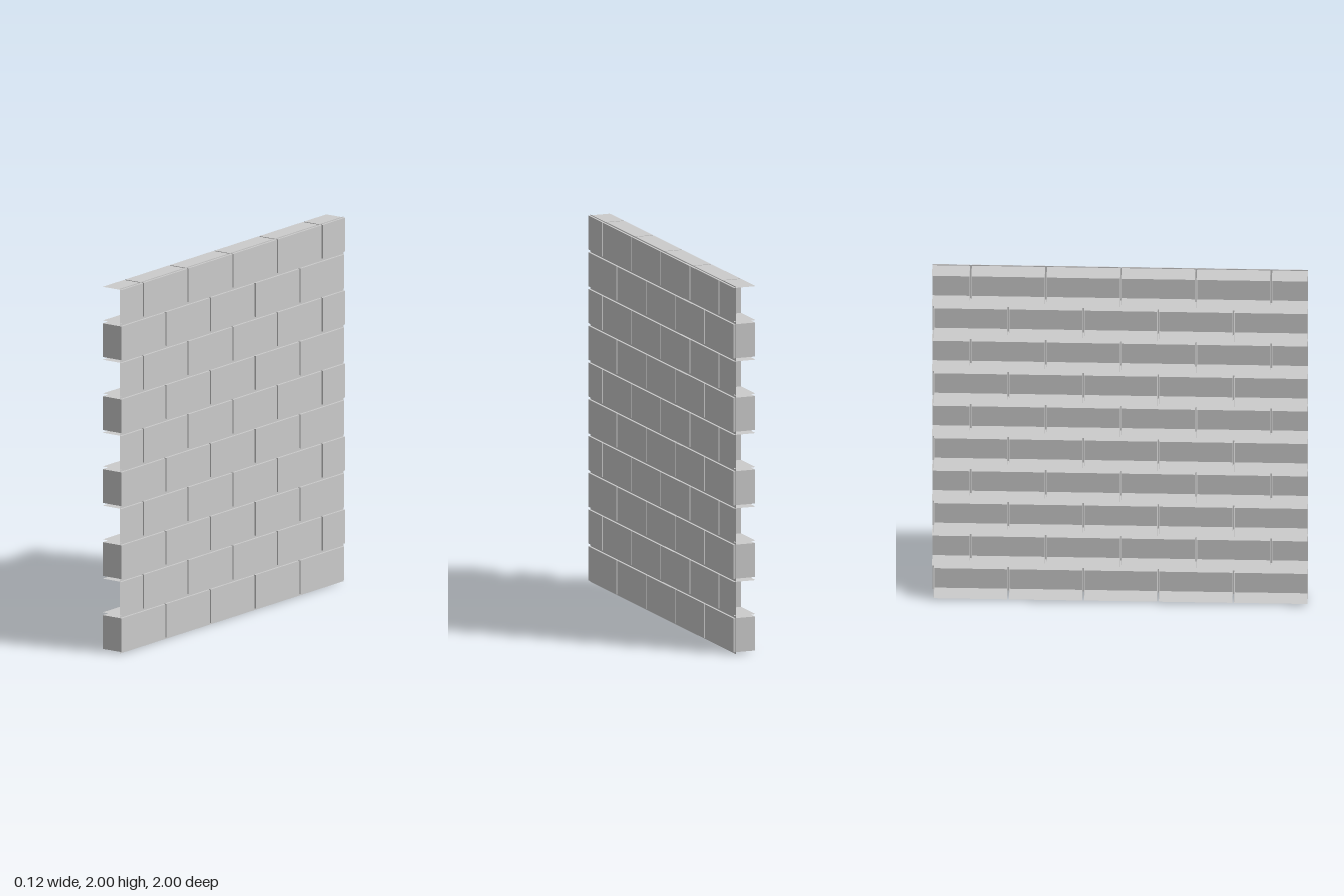
import * as THREE from 'three';

const ROWS = 10, ROW_H = 0.2, PITCH = 0.4, GAP = 0.01;
const BACK = -0.0625, FRONT = 0.0625, MORTAR_X = 0.05;

// Hollow box shell: keeps only the listed sides (0 +x, 1 -x, 2 +y, 3 -y, 4 +z, 5 -z)
function shell(w, h, d, sides) {
  const geo = new THREE.BoxGeometry(w, h, d);
  const all = Array.from(geo.index.array);
  geo.setIndex(sides.flatMap((s) => all.slice(s * 6, s * 6 + 6)));
  geo.clearGroups();
  return geo;
}

export function createModel() {
  const wall = new THREE.Group();
  wall.name = 'brickWall';
  const material = new THREE.MeshStandardMaterial({ color: 0xcccccc, side: THREE.DoubleSide });

  // Thin mortar sheet set just behind the brick faces
  const mortar = new THREE.Mesh(new THREE.PlaneGeometry(2, 2), material);
  mortar.name = 'mortar';
  mortar.rotation.y = Math.PI / 2;
  mortar.position.set(MORTAR_X, 1, 0);
  wall.add(mortar);

  // Courses in running bond; bricks are open at the back
  for (let row = 0; row < ROWS; row++) {
    const course = new THREE.Group();
    course.name = `course${row + 1}`;
    const offset = row % 2 ? PITCH / 2 : 0;
    const low = row * ROW_H + GAP, high = (row + 1) * ROW_H - 0.005;

    for (let start = 1 + offset; start > -0.99; start -= PITCH) {
      const end = start - PITCH + GAP;
      const z1 = Math.min(start, 1), z0 = Math.max(end, -1);
      // Bricks cut by the wall's edge have no end face there
      const sides = [0, 2, 3];
      if (start < 1.001) sides.push(4);
      if (end > -1.001) sides.push(5);
      const brick = new THREE.Mesh(shell(FRONT - BACK, high - low, z1 - z0, sides), material);
      brick.name = 'brick';
      brick.position.set((FRONT + BACK) / 2, (low + high) / 2, (z0 + z1) / 2);
      course.add(brick);
    }
    wall.add(course);
  }
  return wall;
}
